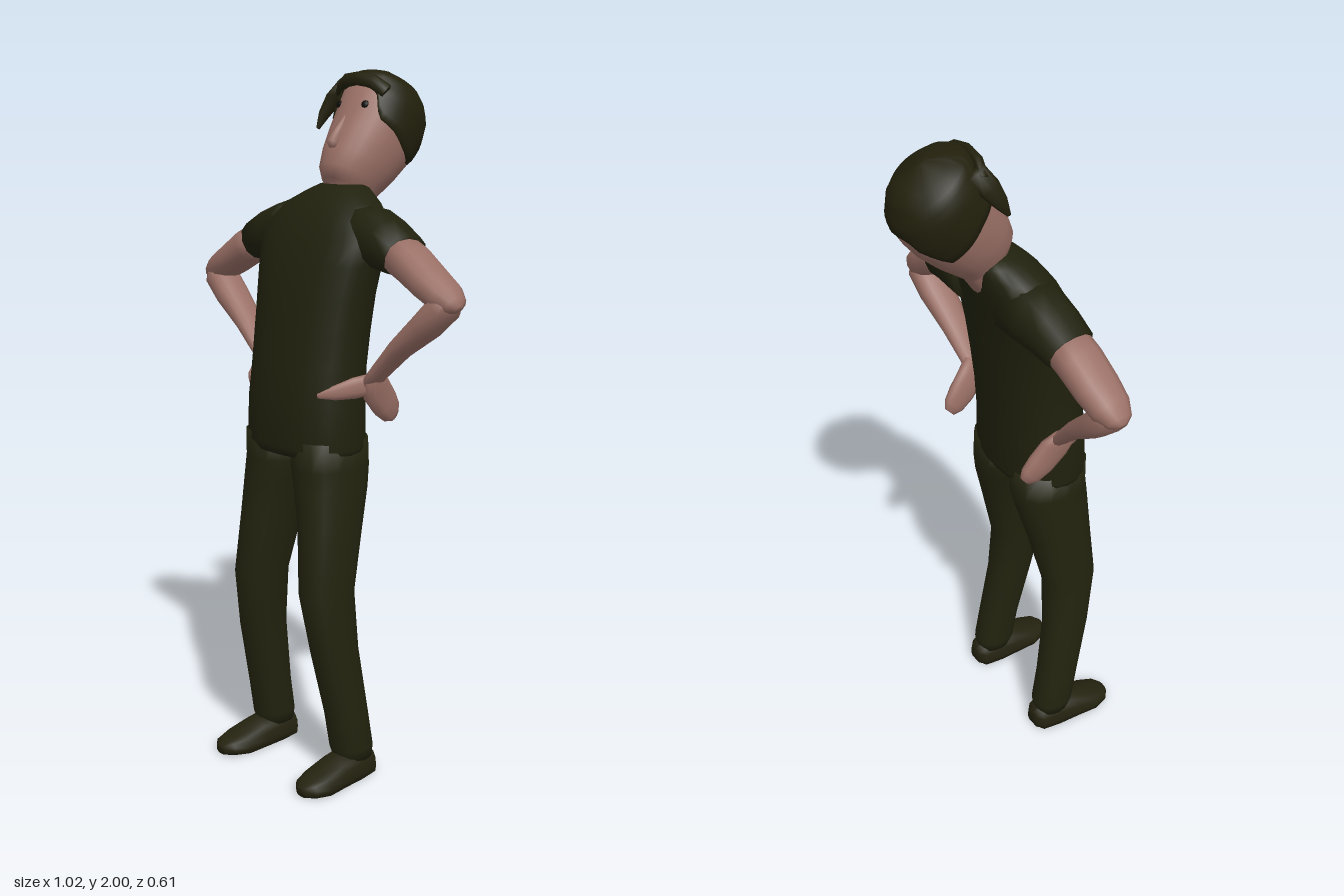
import * as THREE from 'three';

const material = (name, color) => Object.assign(new THREE.MeshStandardMaterial({ color }), { name });

// Skin a grid of closed rings; each row is a list of Vector3 points
function skinRows(rows, name, mat) {
  const n = rows[0].length, pos = [], idx = [];
  const mid = r => r.reduce((s, p) => s.add(p), new THREE.Vector3()).divideScalar(n);
  rows.forEach(r => r.forEach(p => pos.push(p.x, p.y, p.z)));
  pos.push(...mid(rows[0]).toArray(), ...mid(rows[rows.length - 1]).toArray());
  const base = n * rows.length, last = n * (rows.length - 1);
  for (let j = 0; j < n; j++) {
    const k = (j + 1) % n;
    for (let i = 0; i < rows.length - 1; i++) {
      const a = i * n + j, b = i * n + k;
      idx.push(a, b, b + n, a, b + n, a + n);
    }
    idx.push(base, k, j, base + 1, last + j, last + k);
  }
  const geo = new THREE.BufferGeometry();
  geo.setAttribute('position', new THREE.Float32BufferAttribute(pos, 3));
  geo.setIndex(idx);
  geo.computeVertexNormals();
  const mesh = new THREE.Mesh(geo, mat);
  mesh.name = name;
  return mesh;
}

// Loft of rounded rings [x, y, z, radius along ref, radius across]; axis null follows the path
function loft(rings, name, mat, { axis = null, ref = [1, 0, 0], sides = 16, power = 0.88, floor = -9 } = {}) {
  const at = i => new THREE.Vector3(...rings[Math.min(Math.max(i, 0), rings.length - 1)].slice(0, 3));
  const bend = t => Math.sign(t) * Math.abs(t) ** power;
  const rows = rings.map(([, , , ru, rv], i) => {
    const dir = axis ? new THREE.Vector3(...axis) : at(i + 1).sub(at(i - 1)).normalize();
    const u = new THREE.Vector3(...ref);
    u.addScaledVector(dir, -u.dot(dir)).normalize();
    const v = dir.clone().cross(u);
    return Array.from({ length: sides }, (_, j) => {
      const a = j / sides * Math.PI * 2;
      const p = at(i).addScaledVector(u, ru * bend(Math.cos(a))).addScaledVector(v, rv * bend(Math.sin(a)));
      p.y = Math.max(p.y, floor);
      return p;
    });
  });
  return skinRows(rows, name, mat);
}

// Upright section from [y, front z, back z, half width]
const section = ([y, f, b, w]) => [0, y, (f + b) / 2, w, (f - b) / 2];
const UP = { axis: [0, 1, 0] };

// Piecewise linear lookup in rows sorted by their first value
function lookup(table, t) {
  let i = 0;
  while (i < table.length - 2 && t > table[i + 1][0]) i++;
  const a = table[i], b = table[i + 1];
  const k = THREE.MathUtils.clamp((t - a[0]) / (b[0] - a[0]), 0, 1);
  return a.map((v, j) => v + (b[j] - v) * k);
}

const HEAD = [
  [-0.07, 0.035, -0.06, 0.062], [0.005, 0.045, -0.068, 0.06], [0.018, 0.09, -0.075, 0.064],
  [0.05, 0.11, -0.09, 0.083], [0.1, 0.116, -0.115, 0.097], [0.16, 0.115, -0.138, 0.109],
  [0.22, 0.112, -0.15, 0.115], [0.28, 0.112, -0.142, 0.112], [0.33, 0.093, -0.11, 0.09],
  [0.352, 0.055, -0.07, 0.055], [0.362, 0.01, -0.02, 0.012],
];
// Hairline height by angle from the face (degrees)
const HAIRLINE = [[0, 0.288], [35, 0.28], [48, 0.21], [75, 0.195], [100, 0.17], [128, 0.15], [145, 0.2], [160, 0.25], [180, 0.258]];

function buildHead(skin, hair, eye) {
  const head = new THREE.Group();
  head.name = 'head';
  head.add(loft(HEAD.map(section), 'faceAndNeck', skin, { ...UP, sides: 24, power: 0.94 }));

  // Nose
  head.add(loft([[0, 0.095, 0.11, 0.014, 0.008], [0, 0.108, 0.118, 0.017, 0.018],
    [0, 0.15, 0.113, 0.011, 0.014], [0, 0.2, 0.106, 0.006, 0.006]], 'nose', skin, { ...UP, sides: 8 }));

  // Eyes
  for (const s of [-1, 1]) {
    const e = new THREE.Mesh(new THREE.SphereGeometry(0.011, 12, 8), eye);
    e.name = 'eye';
    e.scale.z = 0.5;
    e.position.set(s * 0.052, 0.234, 0.102);
    e.rotation.y = s * 0.35;
    head.add(e);
  }

  // Hair cap following the skull from the hairline to the crown
  const n = 48, rows = [];
  for (let r = 0; r <= 10; r++) {
    const t = Math.max(0, r - 1) / 9, grow = r === 0 ? 0.97 : 1.075;
    rows.push(Array.from({ length: n }, (_, j) => {
      const a = j / n * Math.PI * 2, deg = Math.abs(j > n / 2 ? j - n : j) * 360 / n;
      const low = lookup(HAIRLINE, deg)[1];
      const [y, f, b, w] = lookup(HEAD, low + (0.362 - low) * t);
      const z = (f + b) / 2 + (f - b) / 2 * Math.cos(a);
      return new THREE.Vector3(w * Math.sin(a) * grow, 0.2 + (y - 0.2) * grow, -0.015 + (z + 0.015) * grow);
    }));
  }
  head.add(skinRows(rows, 'hair', hair));

  // Side lock and fringe edge
  head.add(loft([[-0.117, 0.165, 0.088, 0.004, 0.006], [-0.116, 0.21, 0.086, 0.01, 0.02],
    [-0.105, 0.26, 0.082, 0.014, 0.03], [-0.08, 0.31, 0.075, 0.02, 0.032]], 'hairLock', hair, { ...UP, sides: 8 }));
  head.add(loft([[-0.1, 0.285, 0.085, 0.022, 0.012], [-0.05, 0.305, 0.108, 0.02, 0.014], [0, 0.306, 0.115, 0.02, 0.014],
    [0.05, 0.302, 0.106, 0.02, 0.014], [0.092, 0.285, 0.08, 0.02, 0.012]], 'fringe', hair, { ref: [0, 1, 0], sides: 8 }));

  head.position.set(0, 1.65, -0.045);
  head.rotation.x = -0.49;
  return head;
}

export function createModel() {
  const skin = material('skin', 0x9a7066);
  const shirt = material('shirt', 0x20210d);
  const trousers = material('trousers', 0x23230f);
  const shoe = material('shoe', 0x24220f);
  const hair = material('hair', 0x22200c);
  const eye = material('eye', 0x0d0a08);
  const model = new THREE.Group();
  model.name = 'standingFigure';

  // Shirt body, leaning back
  model.add(loft([
    [0.955, 0.228, -0.002, 0.186], [0.98, 0.24, -0.014, 0.195], [1.1, 0.238, -0.016, 0.19], [1.2, 0.227, -0.025, 0.184],
    [1.3, 0.212, -0.035, 0.188], [1.4, 0.194, -0.046, 0.196], [1.48, 0.174, -0.057, 0.208], [1.55, 0.148, -0.07, 0.222],
    [1.6, 0.122, -0.08, 0.2], [1.64, 0.092, -0.087, 0.155], [1.67, 0.06, -0.092, 0.1], [1.688, 0.022, -0.088, 0.07],
  ].map(section), 'shirtBody', shirt, { ...UP, sides: 24 }));

  for (const s of [-1, 1]) {
    const side = s > 0 ? 'left' : 'right';
    const flip = rings => rings.map(([x, ...rest]) => [s * x, ...rest]);
    const add = (name, rings, mat, opts) => model.add(loft(flip(rings), side + name, mat, opts));
    const along = { ref: [0, 0, 1], sides: 12 };

    // Sleeve and bare arm bent to the hip
    add('Sleeve', [[0.09, 1.56, 0.01, 0.09, 0.085], [0.17, 1.553, 0.015, 0.086, 0.083],
      [0.23, 1.538, 0.02, 0.08, 0.072], [0.295, 1.514, 0.025, 0.073, 0.058]], shirt, along);
    add('UpperArm', [[0.27, 1.522, 0.025, 0.066, 0.052], [0.33, 1.495, 0.03, 0.066, 0.051], [0.4, 1.452, 0.035, 0.064, 0.046],
      [0.455, 1.421, 0.038, 0.056, 0.042], [0.492, 1.402, 0.04, 0.036, 0.027], [0.504, 1.395, 0.04, 0.012, 0.01]], skin, along);
    add('Forearm', [[0.475, 1.425, 0.04, 0.035, 0.022], [0.455, 1.395, 0.042, 0.054, 0.04], [0.4, 1.342, 0.046, 0.054, 0.038],
      [0.31, 1.268, 0.055, 0.046, 0.027], [0.24, 1.195, 0.062, 0.038, 0.02], [0.205, 1.155, 0.066, 0.036, 0.016]], skin, along);

    // Hand: palm swept back, fingers forward
    add('Palm', [[0.228, 1.185, 0.068, 0.018, 0.036], [0.212, 1.145, 0.045, 0.021, 0.05], [0.205, 1.1, 0.005, 0.023, 0.046],
      [0.2, 1.07, -0.025, 0.02, 0.036], [0.197, 1.055, -0.042, 0.01, 0.02]], skin, { sides: 12 });
    add('Fingers', [[0.222, 1.165, 0.05, 0.03, 0.016], [0.2, 1.155, 0.115, 0.03, 0.015], [0.17, 1.143, 0.165, 0.02, 0.013],
      [0.138, 1.135, 0.195, 0.008, 0.007]], skin, { ref: [0, 1, 0], sides: 10 });

    // Trouser leg
    add('TrouserLeg', [[0.172, 0.055, 0.092, 0.05, 0.056], [0.171, 0.09, 0.097, 0.057, 0.064], [0.168, 0.2, 0.115, 0.055, 0.066],
      [0.155, 0.4, 0.15, 0.058, 0.074], [0.14, 0.57, 0.165, 0.065, 0.085], [0.123, 0.75, 0.135, 0.074, 0.1],
      [0.107, 0.86, 0.117, 0.086, 0.112], [0.096, 0.92, 0.11, 0.095, 0.115], [0.094, 1.0, 0.111, 0.094, 0.115]], trousers, UP);

    // Shoe with a flat sole
    add('Shoe', [[0.172, 0.02, 0.024, 0.028, 0.03], [0.172, 0.02, 0.04, 0.046, 0.055], [0.173, 0.02, 0.1, 0.055, 0.07],
      [0.175, 0.018, 0.17, 0.057, 0.058], [0.178, 0.016, 0.235, 0.06, 0.038], [0.18, 0.015, 0.28, 0.046, 0.026],
      [0.18, 0.014, 0.3, 0.022, 0.015]], shoe, { axis: [0, 0, 1], floor: 0 });
  }

  model.add(buildHead(skin, hair, eye));
  return model;
}
